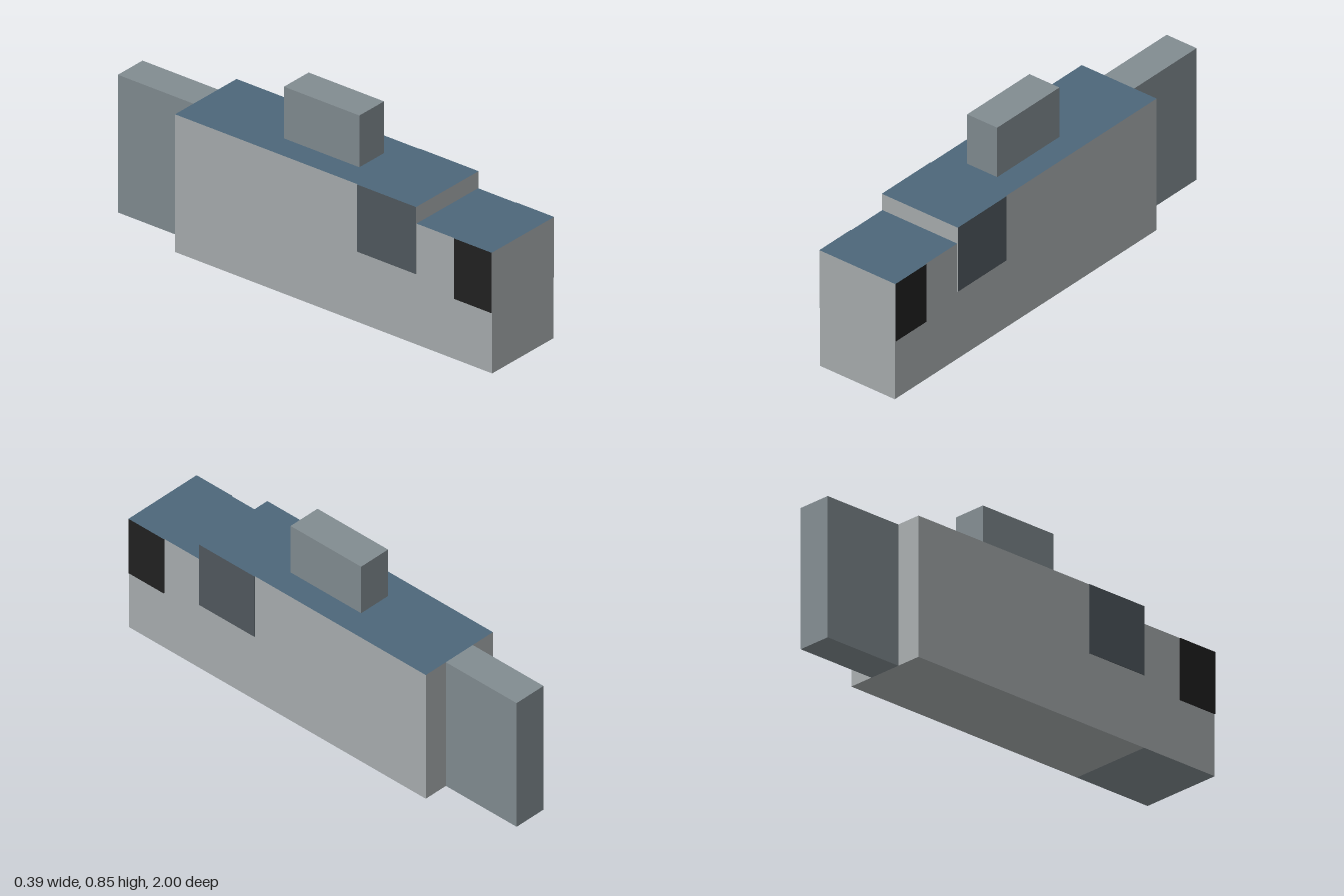
import * as THREE from 'three';

const mat = (name, color) => {
  const m = new THREE.MeshStandardMaterial({ color });
  m.name = name;
  return m;
};

export function createModel() {
  const group = new THREE.Group();
  const grey = mat('light grey', 0xa9aeb0);
  const slate = mat('slate grey', 0x828c91);
  const blue = mat('roof blue', 0x4d677a);
  const charcoal = mat('charcoal', 0x51595f);
  const black = mat('black', 0x212121);

  // Box given by its min and max corners
  const box = (name, [x0, y0, z0], [x1, y1, z1], material) => {
    const mesh = new THREE.Mesh(new THREE.BoxGeometry(x1 - x0, y1 - y0, z1 - z0), material);
    mesh.position.set((x0 + x1) / 2, (y0 + y1) / 2, (z0 + z1) / 2);
    mesh.name = name;
    group.add(mesh);
  };

  const W = 0.192, N = 0.077, H = 0.615;

  // Main body and lower nose, both with blue tops (faces: +x -x +y -y +z -z)
  box('body', [-W, 0, -H], [W, H, H], [grey, grey, blue, grey, grey, grey]);
  box('nose', [-W, 0, H], [W, 0.54, 1], [grey, grey, blue, slate, grey, grey]);

  // Narrow tail and roof block
  box('tail', [-N, 0, -1], [N, H, -H], slate);
  box('roofBlock', [-N, H, -0.154], [N, 0.846, 0.23], slate);

  // Thin side panels, mirrored
  const T = 0.003;
  for (const [side, s] of [['left', 1], ['right', -1]]) {
    const x0 = s > 0 ? W : -W - T;
    box(side + 'NosePanel', [x0, 0.27, 0.808], [x0 + T, 0.54, 1], [black, black, blue, black, grey, black]);
    box(side + 'BodyPanel', [x0, 0.315, 0.315], [x0 + T, H, H], [charcoal, charcoal, blue, charcoal, grey, charcoal]);
  }
  return group;
}
